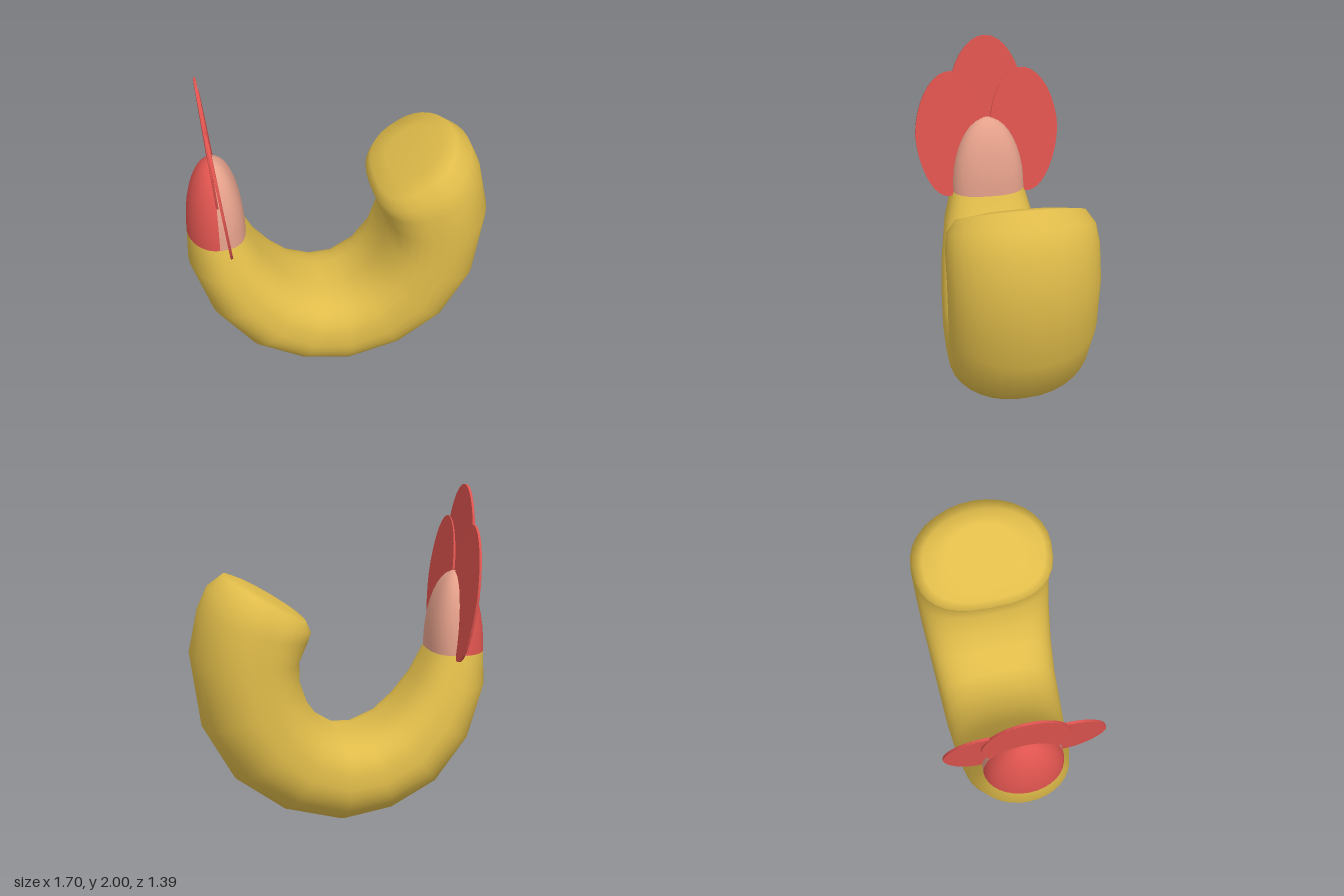
import * as THREE from 'three';
import { mergeVertices } from 'three/addons/utils/BufferGeometryUtils.js';

const SEG = 32;

// A cross-section: inner and outer points in the x/y plane plus half-width in z.
// The inner side is a little squarer than the outer side.
function ring([ix, iy, ox, oy, halfWidth]) {
  const pts = [];
  for (let j = 0; j <= SEG; j++) {
    const t = (j / SEG) * Math.PI * 2 - Math.PI / 2;
    const c = Math.cos(t), s = Math.sin(t);
    const k = c > 0 ? 0.75 : 1;
    const a = Math.sign(c) * Math.abs(c) ** k;
    const b = Math.sign(s) * Math.abs(s) ** k;
    pts.push([(ix + ox) / 2 + a * (ix - ox) / 2, (iy + oy) / 2 + a * (iy - oy) / 2, b * halfWidth]);
  }
  return pts;
}

// Skin a run of cross-sections, over all or part of the way around
function loft(rings, from = 0, to = SEG) {
  const pos = [], index = [], n = to - from + 1;
  rings.forEach((r, i) => {
    for (let j = from; j <= to; j++) pos.push(...r[j]);
    if (i === 0) return;
    for (let j = 0; j < n - 1; j++) {
      const a = (i - 1) * n + j, c = i * n + j;
      index.push(a, a + 1, c, a + 1, c + 1, c);
    }
  });
  let geo = new THREE.BufferGeometry();
  geo.setAttribute('position', new THREE.Float32BufferAttribute(pos, 3));
  geo.setIndex(index);
  geo = mergeVertices(geo, 1e-4);
  geo.computeVertexNormals();
  return geo;
}

// Leaf outline, slightly tapered toward the foot
function petalGeometry(halfWidth, halfHeight) {
  const pts = [];
  for (let i = 0; i < 36; i++) {
    const t = (i / 36) * Math.PI * 2;
    const v = -Math.cos(t);
    const taper = v < 0 ? 1 + 0.16 * v : 1;
    pts.push(new THREE.Vector2(halfWidth * Math.sin(t) * taper, halfHeight * v));
  }
  const geo = new THREE.ExtrudeGeometry(new THREE.Shape(pts), { depth: 0.014, bevelEnabled: false });
  geo.translate(0, 0, -0.007);
  geo.rotateY(Math.PI / 2);
  return geo;
}

export function createModel() {
  const material = (name, color) => {
    const m = new THREE.MeshStandardMaterial({ color });
    m.name = name;
    return m;
  };
  const yellow = material('yellow', 0xe0bc4a);
  const red = material('red', 0xdf544f);
  const pink = material('pink', 0xe4a08a);

  const model = new THREE.Group();
  model.name = 'curledTail';
  // Everything is built in one upright plane, then turned about y
  const body = new THREE.Group();
  body.name = 'tailAssembly';
  body.position.z = 0.03;
  const turn = new THREE.Group();
  turn.name = 'turnedTail';
  turn.rotation.y = -27 * Math.PI / 180;
  turn.add(body);
  model.add(turn);

  const add = (name, geo, mat) => {
    const mesh = new THREE.Mesh(geo, mat);
    mesh.name = name;
    body.add(mesh);
    return mesh;
  };

  // Hooked tube: narrow tip, round the bend, up to the thick capped end
  const sections = [
    [-0.54, 1.01, -0.88, 1.01, 0.235],
    [-0.455, 0.84, -0.885, 0.8, 0.285],
    [-0.35, 0.71, -0.78, 0.47, 0.325],
    [-0.24, 0.61, -0.57, 0.2, 0.35],
    [-0.1, 0.55, -0.28, 0.05, 0.37],
    [0.02, 0.555, 0.03, 0, 0.38],
    [0.14, 0.63, 0.38, 0.095, 0.395],
    [0.225, 0.75, 0.66, 0.3, 0.41],
    [0.275, 0.9, 0.84, 0.62, 0.42],
    [0.275, 1.02, 0.9, 1.05, 0.425],
    [0.225, 1.13, 0.845, 1.31, 0.425],
    [0.205, 1.185, 0.785, 1.44, 0.41],
    [0.23, 1.245, 0.69, 1.51, 0.36],
    [0.31, 1.305, 0.61, 1.485, 0.22],
    [0.455, 1.395, 0.455, 1.395, 0],
  ];
  add('tail', loft(sections.map(ring)), yellow);

  // Domed tip from apex down, split into a pink inner half and a red outer half
  const dome = [];
  for (let i = 10; i >= 0; i--) {
    const t = (i / 10) * Math.PI / 2;
    const s = i === 10 ? 0 : Math.cos(t), y = 1.01 + 0.475 * Math.sin(t);
    dome.push(ring([-0.71 + 0.17 * s, y, -0.71 - 0.17 * s, y, 0.235 * s]));
  }
  add('tipInnerHalf', loft(dome, 0, SEG / 2), pink);
  add('tipOuterHalf', loft(dome, SEG / 2, SEG), red);

  // Three leaning petals, the tall one behind the pair
  const lean = 0.11;
  for (const side of [-1, 1]) {
    const petal = add(side > 0 ? 'rightPetal' : 'leftPetal', petalGeometry(0.215, 0.405), red);
    petal.position.set(-0.695, 1.385, side * 0.238);
    petal.rotation.set(-side * 0.05, 0, lean);
  }
  const centre = add('centrePetal', petalGeometry(0.245, 0.48), red);
  centre.position.set(-0.725, 1.52, 0);
  centre.rotation.z = lean * 0.7;

  return model;
}
